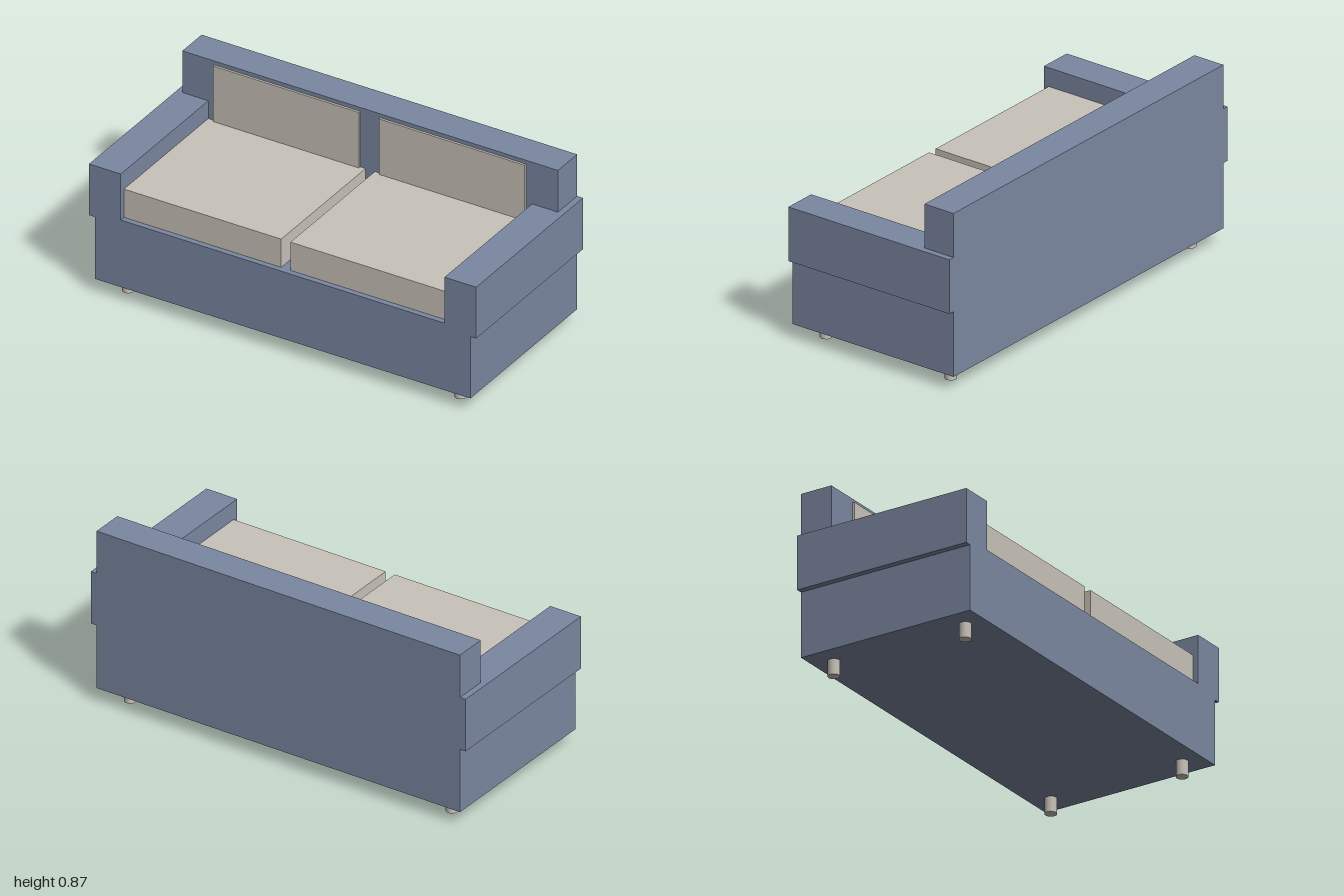
import * as THREE from 'three';

export function createModel() {
  const sofa = new THREE.Group();
  sofa.name = 'sofa';

  const blueFabric = new THREE.MeshStandardMaterial({ color: 0x7b88a2 });
  blueFabric.name = 'blue fabric';
  const beigeFabric = new THREE.MeshStandardMaterial({ color: 0xc9c3b9 });
  beigeFabric.name = 'beige fabric';

  // Box given by its lower and upper limits on each axis
  function addBox(name, material, [x0, x1], [y0, y1], [z0, z1]) {
    const mesh = new THREE.Mesh(new THREE.BoxGeometry(x1 - x0, y1 - y0, z1 - z0), material);
    mesh.position.set((x0 + x1) / 2, (y0 + y1) / 2, (z0 + z1) / 2);
    mesh.name = name;
    sofa.add(mesh);
  }

  const depth = 0.447;
  const backFront = -0.286;

  // Frame
  addBox('base', blueFabric, [-0.97, 0.97], [0.074, 0.418], [-depth, depth]);
  addBox('backrest', blueFabric, [-0.97, 0.97], [0.418, 0.868], [-depth, backFront]);

  // Mirrored arms, cushions and legs
  const legGeometry = new THREE.CylinderGeometry(0.028, 0.028, 0.076, 24);
  for (const [side, s] of [['left', 1], ['right', -1]]) {
    const span = (a, b) => (s > 0 ? [a, b] : [-b, -a]);
    addBox(side + 'Arm', blueFabric, span(0.836, 1), [0.391, 0.654], [-depth, depth]);
    addBox(side + 'SeatCushion', beigeFabric, span(0.024, 0.836), [0.418, 0.563], [backFront, 0.42]);
    addBox(side + 'BackCushion', beigeFabric, span(0.052, 0.804), [0.5, 0.848], [-0.3, -0.275]);

    for (const [end, z] of [['Front', 0.347], ['Back', -0.347]]) {
      const leg = new THREE.Mesh(legGeometry, beigeFabric);
      leg.name = side + end + 'Leg';
      leg.position.set(s * 0.859, 0.038, z);
      sofa.add(leg);
    }
  }

  return sofa;
}
